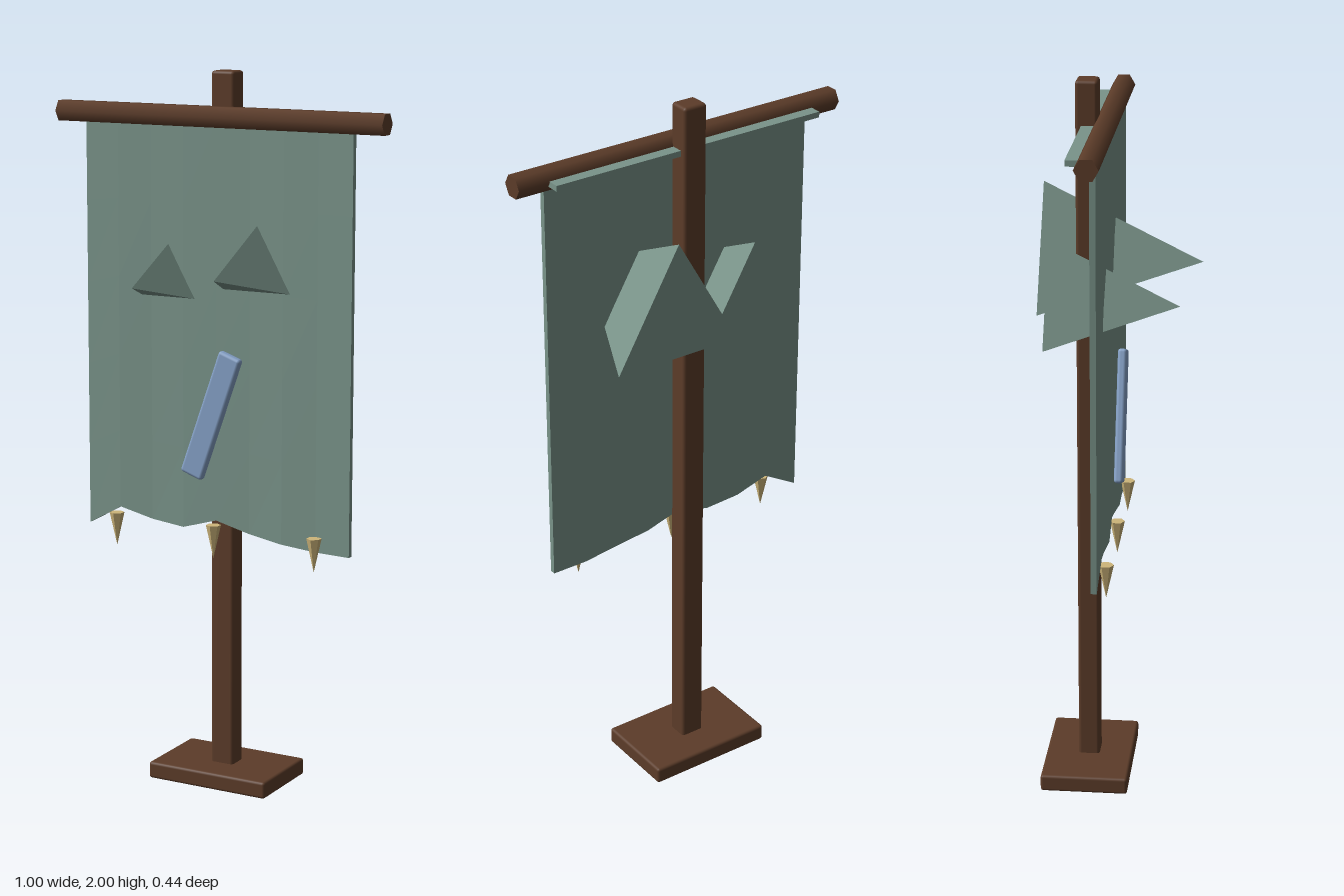
import * as THREE from 'three';
import { RoundedBoxGeometry } from 'three/addons/geometries/RoundedBoxGeometry.js';

const material = (name, color, flatShading = false) => {
  const m = new THREE.MeshStandardMaterial({ color, flatShading });
  m.name = name;
  return m;
};

export function createModel() {
  const wood = material('brown wood', 0x5c3c29);
  const cloth = material('grey green cloth', 0x7a948a, true);
  const blue = material('pale blue', 0x86a2c8);
  const bone = material('bone', 0xcdb57a, true);

  const group = new THREE.Group();
  const add = (name, geometry, mat, x, y, z) => {
    const mesh = new THREE.Mesh(geometry, mat);
    mesh.name = name;
    mesh.position.set(x, y, z);
    group.add(mesh);
    return mesh;
  };

  // Wooden stand
  add('base', new RoundedBoxGeometry(0.372, 0.048, 0.245, 2, 0.008), wood, 0, 0.024, -0.087);
  add('pole', new RoundedBoxGeometry(0.07, 2, 0.06, 2, 0.009), wood, 0, 1, -0.087);
  const bar = new THREE.CylinderGeometry(0.032, 0.032, 1, 6);
  bar.rotateZ(Math.PI / 2);
  // turn the hexagon so its points face front and back
  bar.rotateX(Math.PI / 2);
  bar.computeBoundingBox();
  if (bar.boundingBox.max.z < 0.03) bar.rotateX(Math.PI / 6);
  add('crossbar', bar, wood, 0, 1.878, -0.038);

  // Hanging cloth: ragged hem and shallow folds
  const hem = [0.712, 0.77, 0.745, 0.735, 0.765, 0.738, 0.722, 0.712, 0.71];
  const folds = [0, 0.003, -0.002, 0.003, 0, -0.003, 0.002, -0.002, 0];
  const top = 1.865, width = 0.82;
  const sheet = new THREE.BoxGeometry(width, 1, 0.016, 8, 5, 1);
  const p = sheet.attributes.position;
  for (let i = 0; i < p.count; i++) {
    const column = Math.round((p.getX(i) / width + 0.5) * 8);
    const drop = 0.5 - p.getY(i);
    p.setY(i, top - drop * (top - hem[column]));
    p.setZ(i, p.getZ(i) + folds[column] * (0.4 + 0.6 * drop));
  }
  sheet.computeVertexNormals();
  add('cloth', sheet, cloth, 0, 0, -0.032);
  add('clothFold', new THREE.BoxGeometry(width, 0.016, 0.06), cloth, 0, 1.873, -0.071);

  // Three-sided spikes pushed through the cloth as eyes
  const spike = (name, radius, length, x, y, z) => {
    const shape = new THREE.ConeGeometry(radius, length, 3);
    shape.rotateY(Math.PI); // one corner to -z, which becomes up
    shape.rotateX(Math.PI / 2); // tip to the front
    shape.computeBoundingBox();
    if (shape.boundingBox.max.y < radius * 0.9) shape.rotateZ(Math.PI);
    add(name, shape, cloth, x, y, z);
  };
  spike('leftEye', 0.216, 0.435, 0.125, 1.474, -0.003);
  spike('rightEye', 0.173, 0.347, -0.15, 1.43, -0.002);

  // Slanted plaque
  const plaque = add('plaque', new RoundedBoxGeometry(0.07, 0.368, 0.025, 2, 0.009), blue, 0, 1.066, 0.002);
  plaque.rotation.z = -0.34;

  // Teeth along the hem
  for (const x of [-0.312, 0, 0.312]) {
    const tooth = add('tooth', new THREE.ConeGeometry(0.021, 0.095, 6), bone, x, 0.708, -0.009);
    tooth.rotation.x = Math.PI;
  }
  return group;
}
